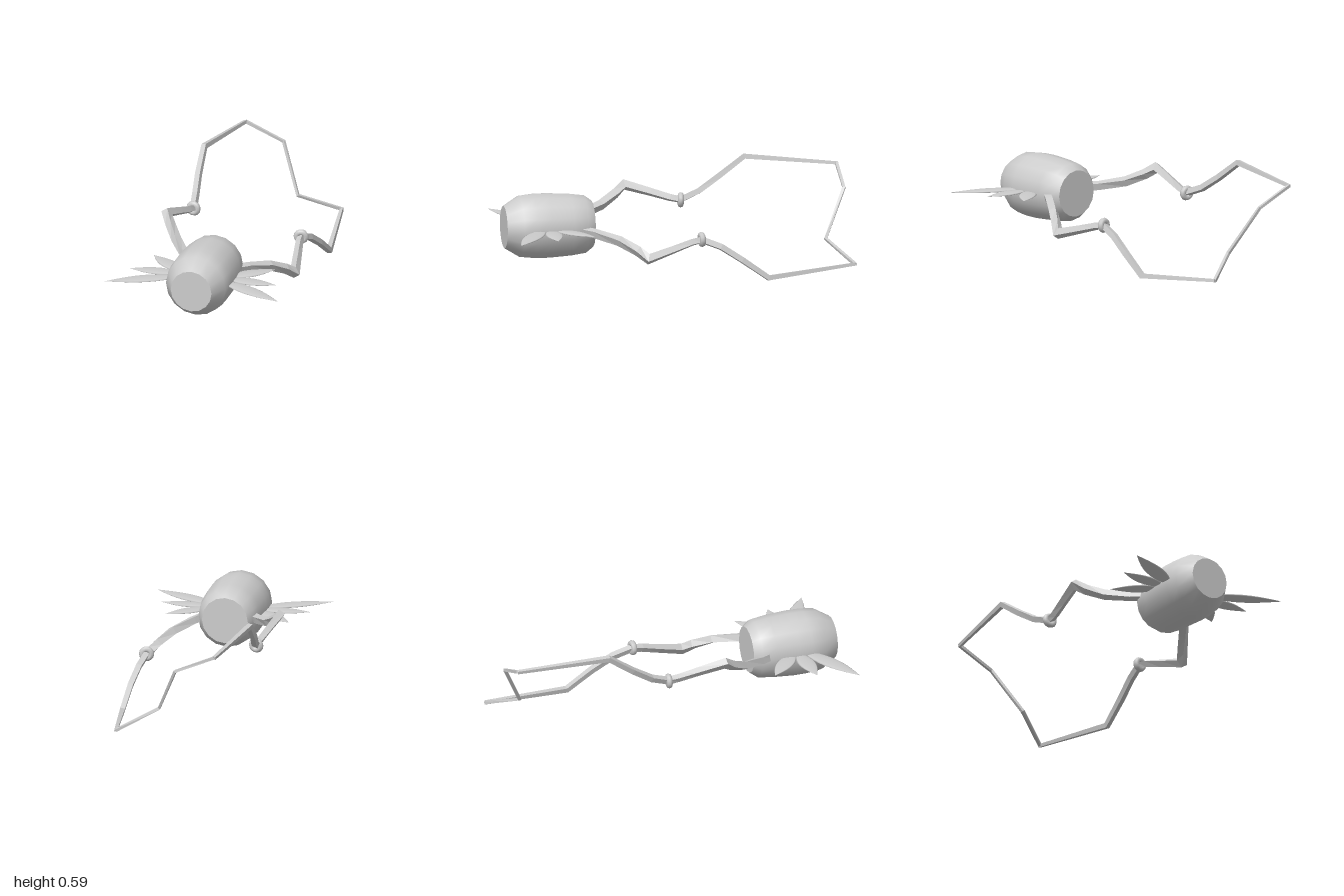
import * as THREE from 'three';

const V = (x, y, z) => new THREE.Vector3(x, y, z);

// Square-section bar through rows of [x, y, z, width, twist in degrees], mitred at the bends
function bar(rows) {
  const pts = rows.map(r => V(r[0], r[1], r[2]));
  const pos = [], idx = [], n = rows.length;
  rows.forEach(([, , , w, deg], i) => {
    const a = pts[i].clone().sub(pts[Math.max(i - 1, 0)]).normalize();
    const b = pts[Math.min(i + 1, n - 1)].clone().sub(pts[i]).normalize();
    const t = a.clone().add(b).normalize();
    const miter = 1 / Math.max(0.6, t.dot(i ? a : b));
    const s = V(Math.cos(deg * Math.PI / 180), Math.sin(deg * Math.PI / 180), 0);
    s.addScaledVector(t, -s.dot(t)).normalize();
    const u = t.clone().cross(s);
    for (const [p, q] of [[-1, -1], [1, -1], [1, 1], [-1, 1]]) {
      const c = pts[i].clone().addScaledVector(s, p * w / 2).addScaledVector(u, q * w / 2 * miter);
      pos.push(c.x, c.y, c.z);
    }
  });
  for (let i = 0; i < n - 1; i++) for (let j = 0; j < 4; j++) {
    const a = i * 4 + j, b = i * 4 + (j + 1) % 4;
    idx.push(a, b, b + 4, a, b + 4, a + 4);
  }
  const e = (n - 1) * 4;
  idx.push(0, 2, 1, 0, 3, 2, e, e + 1, e + 2, e, e + 2, e + 3);
  const g = new THREE.BufferGeometry();
  g.setAttribute('position', new THREE.Float32BufferAttribute(pos, 3));
  g.setIndex(idx);
  const flat = g.toNonIndexed();
  flat.computeVertexNormals();
  return flat;
}

// Thin pointed petal lying flat, from root to tip in x and z
function petal([x0, z0], [x1, z1], width) {
  const len = Math.hypot(x1 - x0, z1 - z0), profile = [];
  for (let i = 0; i <= 10; i++) {
    const t = i / 10;
    profile.push(new THREE.Vector2(Math.sin(Math.PI * Math.pow(t, 0.9)) * width / 2 + 1e-5, t * len));
  }
  const g = new THREE.LatheGeometry(profile, 12);
  g.scale(1, 1, 0.016 / width);
  g.rotateX(Math.PI / 2);
  g.rotateY(Math.atan2(x1 - x0, z1 - z0));
  g.translate(x0, 0.3, z0);
  return g;
}

export function createModel() {
  const model = new THREE.Group();
  const grey = new THREE.MeshStandardMaterial({ color: 0xcccccc });
  grey.name = 'plainGrey';
  const add = (name, geometry, parent = model) => {
    const m = new THREE.Mesh(geometry, grey);
    m.name = name;
    parent.add(m);
    return m;
  };

  // Barrel body along z with flat ends
  const profile = [[0.135, 0.49], [0.168, 0.535], [0.18, 0.62], [0.188, 0.75],
    [0.187, 0.83], [0.178, 0.91], [0.122, 1]].map(p => new THREE.Vector2(p[0], p[1]));
  const barrel = new THREE.LatheGeometry(profile, 16);
  barrel.rotateX(Math.PI / 2);
  add('barrel', barrel).position.y = 0.3;
  const frontCap = new THREE.CircleGeometry(0.122, 16);
  frontCap.rotateZ(Math.PI / 2);
  add('frontCap', frontCap).position.set(0, 0.3, 1);
  const backCap = new THREE.CircleGeometry(0.135, 16);
  backCap.rotateZ(Math.PI / 2).rotateY(Math.PI);
  add('backCap', backCap).position.set(0, 0.3, 0.49);

  // Petals mirrored on both sides
  for (const s of [-1, 1]) {
    add('frontPetal', petal([s * 0.11, 0.785], [s * 0.52, 0.998], 0.105));
    add('middlePetal', petal([s * 0.13, 0.752], [s * 0.44, 0.767], 0.1));
    add('backPetal', petal([s * 0.13, 0.735], [s * 0.365, 0.537], 0.1));
  }

  // Two limbs, one the other turned half round the long axis
  const limbRows = [
    [-0.13, 0.305, 0.6, 0.04, 75], [-0.19, 0.316, 0.51, 0.04, 72], [-0.28, 0.348, 0.38, 0.042, 60],
    [-0.345, 0.397, 0.285, 0.042, 45], [-0.383, 0.438, 0.23, 0.042, 33],
    [-0.352, 0.395, 0.08, 0.036, 30], [-0.33, 0.362, -0.03, 0.033, 25], [-0.322, 0.35, -0.09, 0.032, 20],
    [-0.342, 0.392, -0.2, 0.032, 18], [-0.362, 0.47, -0.32, 0.031, 15], [-0.374, 0.577, -0.47, 0.028, 12],
    [-0.288, 0.535, -0.99, 0.018, 10]];
  for (const [name, turn] of [['rightLimb', 0], ['leftLimb', Math.PI]]) {
    const limb = new THREE.Group();
    limb.name = name;
    const rows = limbRows.map(([x, y, z, w, d]) => [x, y - 0.3, z, w, d]);
    add('curvedBar', bar(rows), limb);
    // Ring around the joint
    const ring = add('jointRing', new THREE.TorusGeometry(0.026, 0.018, 8, 14), limb);
    ring.position.set(-0.322, 0.048, -0.09);
    ring.lookAt(-0.327, 0.04, -0.3);
    ring.rotation.y += 0.15;
    limb.position.y = 0.3;
    limb.rotation.z = turn;
    model.add(limb);
  }

  // Kinked string joining the limb ends
  add('string', bar([[-0.29, 0.537, -0.99, 0.017, 90], [-0.06, 0.44, -0.99, 0.016, 80],
    [0.065, 0.172, -0.86, 0.016, 70], [0.29, 0.063, -0.99, 0.017, 80]]));
  return model;
}
